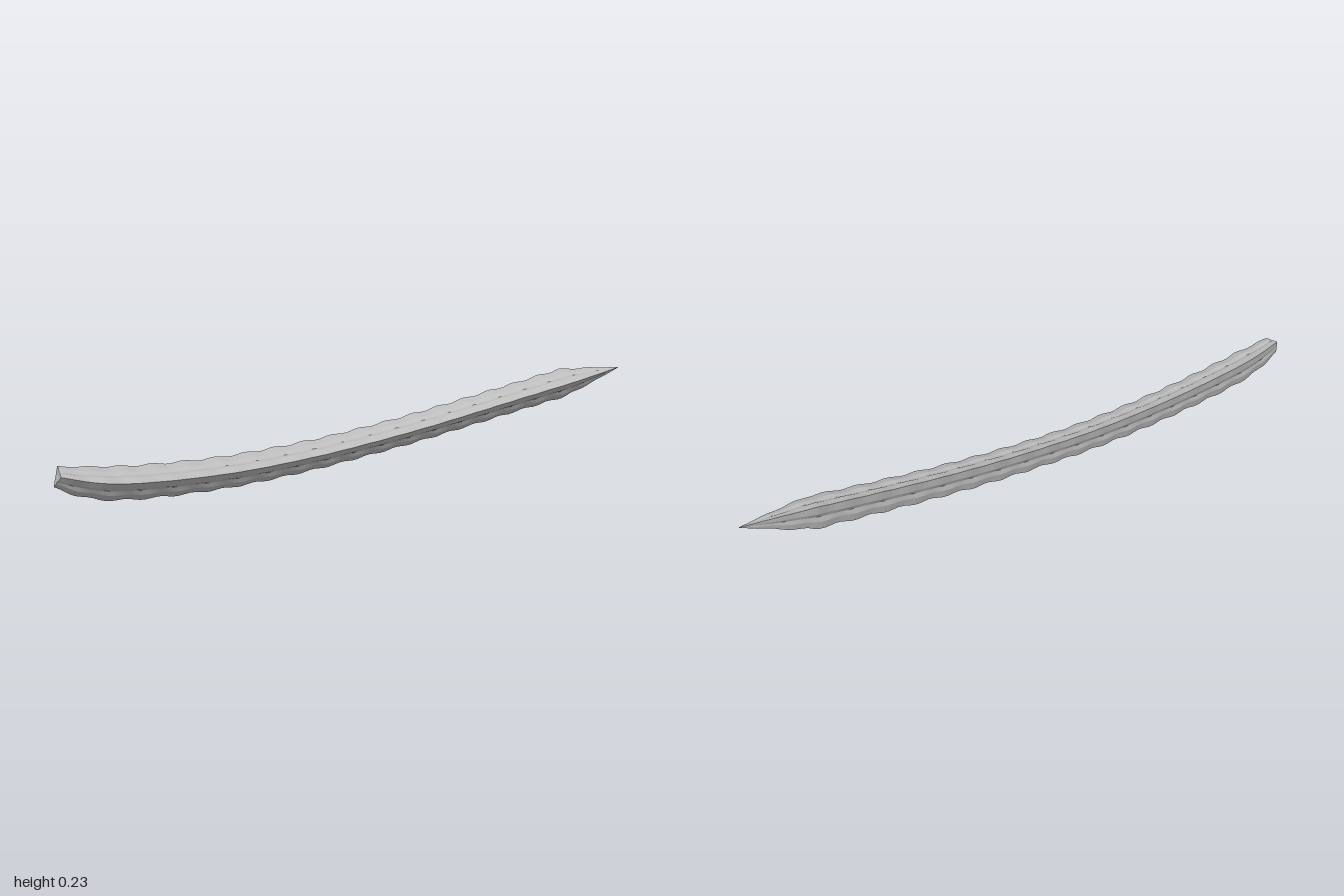
import * as THREE from 'three';

const RIBS = 3, STEPS = 4, SIDES = RIBS * STEPS; // points around one cross-section
const SEGMENTS = 120, BUMPS = 20;
const RADIUS = 0.059;

// Straight-line interpolation through [t, value] pairs
function sample(keys, t) {
  for (let i = 1; i < keys.length; i++) {
    if (t <= keys[i][0]) {
      const [t0, a] = keys[i - 1], [t1, b] = keys[i];
      return a + (b - a) * (t - t0) / (t1 - t0);
    }
  }
  return keys[keys.length - 1][1];
}

// Three-ribbed stem, swept along a curve with scalloped rib edges
function stemGeometry(path) {
  const girth = [[0, 0.62], [0.03, 0.83], [0.065, 0.99], [0.12, 1.02], [0.5, 0.94], [0.8, 0.97], [0.89, 1], [0.94, 0.6], [1, 0.02]];
  const ridge = [1, 0.61, 0.45, 0.61]; // rib edge, flank, groove, flank
  const ripple = [0.06, 0.03, 0, 0.03];
  const up = new THREE.Vector3(0, 1, 0);
  const positions = [], index = [];

  for (let i = 0; i <= SEGMENTS; i++) {
    const t = i / SEGMENTS;
    const centre = path.getPointAt(t), tangent = path.getTangentAt(t);
    const u = tangent.clone().cross(up).normalize();
    const v = u.clone().cross(tangent);
    for (let j = 0; j < SIDES; j++) {
      const k = j % STEPS, rib = Math.round(j / STEPS);
      const angle = THREE.MathUtils.degToRad(15) + j / SIDES * Math.PI * 2;
      const wave = ripple[k] * Math.sin((t * BUMPS + rib / RIBS) * Math.PI * 2);
      const r = RADIUS * sample(girth, t) * (ridge[k] + wave);
      const p = centre.clone().addScaledVector(u, r * Math.cos(angle)).addScaledVector(v, r * Math.sin(angle));
      positions.push(p.x, p.y, p.z);
    }
  }
  // Skin between neighbouring cross-sections
  for (let i = 0; i < SEGMENTS; i++) {
    for (let j = 0; j < SIDES; j++) {
      const a = i * SIDES + j, b = i * SIDES + (j + 1) % SIDES;
      index.push(a, a + SIDES, b, b, a + SIDES, b + SIDES);
    }
  }
  // Cut end at the front and closed tip at the back
  const last = SEGMENTS * SIDES, front = positions.length / 3;
  const s = path.getPointAt(0), e = path.getPointAt(1);
  positions.push(s.x, s.y, s.z, e.x, e.y, e.z);
  for (let j = 0; j < SIDES; j++) {
    const n = (j + 1) % SIDES;
    index.push(front, j, n, front + 1, last + n, last + j);
  }

  const geometry = new THREE.BufferGeometry();
  geometry.setAttribute('position', new THREE.Float32BufferAttribute(positions, 3));
  geometry.setIndex(index);
  geometry.computeVertexNormals();
  return geometry;
}

export function createModel() {
  const grey = new THREE.MeshStandardMaterial({ color: 0xbcbcbc, flatShading: true });
  grey.name = 'stem grey';

  // Sagging centre line from the cut end to the raised tip
  const path = new THREE.CatmullRomCurve3([
    [-0.312, 0.132, 0.987], [-0.281, 0.102, 0.9], [-0.247, 0.082, 0.8], [-0.155, 0.061, 0.5],
    [-0.069, 0.066, 0.2], [-0.009, 0.081, 0], [0.053, 0.102, -0.2], [0.117, 0.129, -0.4],
    [0.186, 0.159, -0.6], [0.258, 0.19, -0.8], [0.334, 0.221, -1],
  ].map((p) => new THREE.Vector3(...p)));

  const stem = new THREE.Mesh(stemGeometry(path), grey);
  stem.name = 'ribbedStem';
  const group = new THREE.Group();
  group.name = 'cactusStem';
  group.add(stem);
  return group;
}
